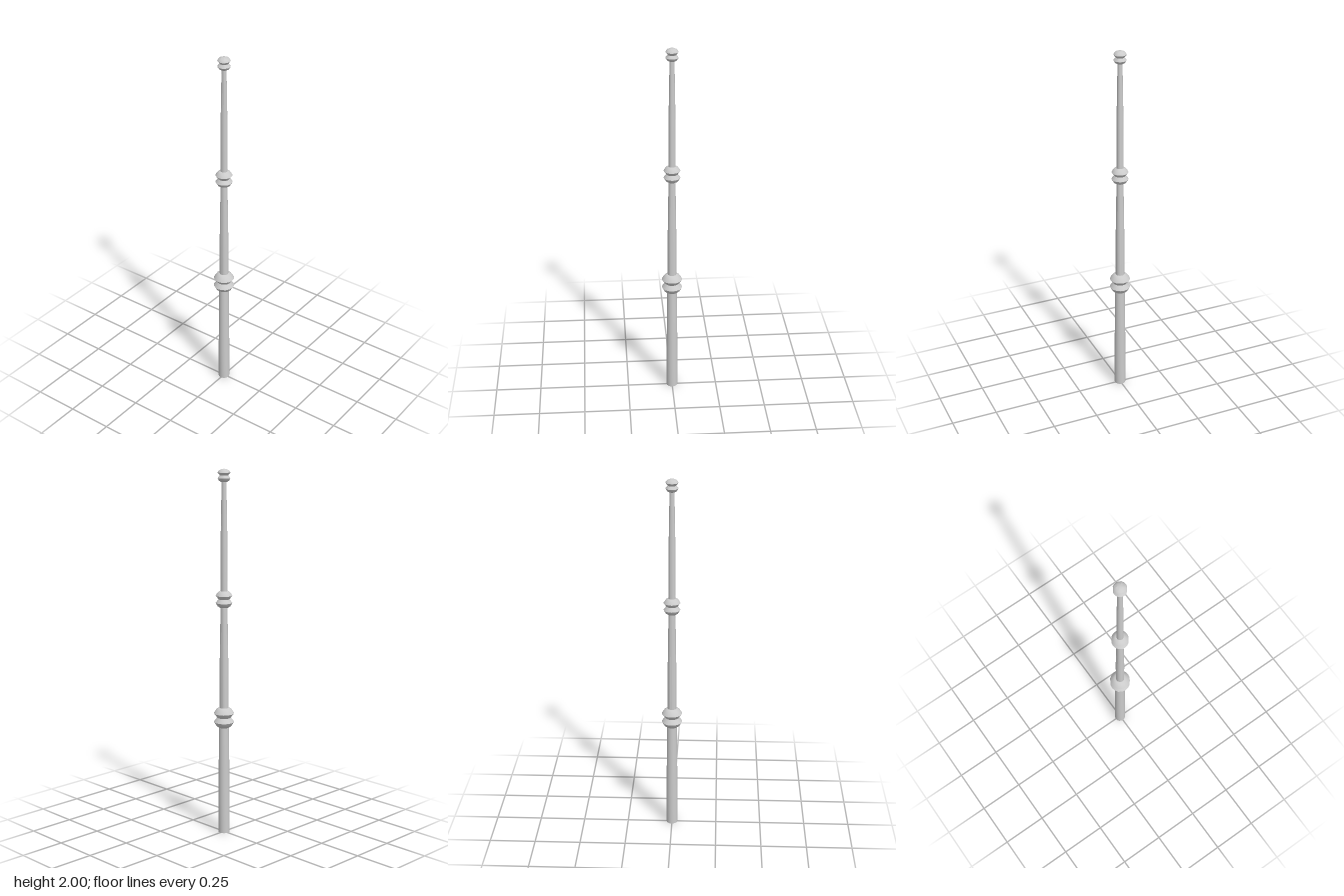
import * as THREE from 'three';
import { toCreasedNormals } from 'three/addons/utils/BufferGeometryUtils.js';

const SIDES = 16;

export function createModel() {
  const group = new THREE.Group();
  const material = new THREE.MeshStandardMaterial({ color: 0xcccccc });

  // Turned part from [radius, height] points, bottom to top
  const turn = (name, profile) => {
    const lathe = new THREE.LatheGeometry(profile.map(([r, y]) => new THREE.Vector2(r, y)), SIDES);
    const mesh = new THREE.Mesh(toCreasedNormals(lathe, 0.7), material);
    mesh.name = name;
    group.add(mesh);
  };

  // Tapered shaft sections, each thinner than the one below
  turn('lowerShaft', [[0, 0], [0.031, 0], [0.031, 0.18], [0.027, 0.62]]);
  turn('middleShaft', [[0.024, 0.69], [0.0235, 0.95], [0.0185, 1.28]]);
  turn('upperShaft', [[0.019, 1.34], [0.0175, 1.65], [0.0125, 1.95]]);

  // Double-ridged collar: two sharp rims with a waist between them
  const collar = (name, bottom, top, rim, neck) => {
    const h = top - bottom;
    const at = (t) => bottom + t * h;
    turn(name, [
      [0, bottom], [neck, bottom], [rim * 0.76, at(0.08)], [rim, at(0.28)],
      [rim * 0.66, at(0.5)],
      [rim, at(0.72)], [rim * 0.76, at(0.91)], [neck, top], [0, top],
    ]);
  };
  collar('lowerCollar', 0.604, 0.714, 0.056, 0.03);
  collar('middleCollar', 1.267, 1.356, 0.045, 0.023);

  // Finial: the same two ridges, closed by a low dome
  turn('topFinial', [
    [0, 1.932], [0.016, 1.932], [0.026, 1.938], [0.034, 1.951],
    [0.022, 1.966],
    [0.034, 1.981], [0.027, 1.992], [0.015, 1.998], [0, 2],
  ]);

  return group;
}
